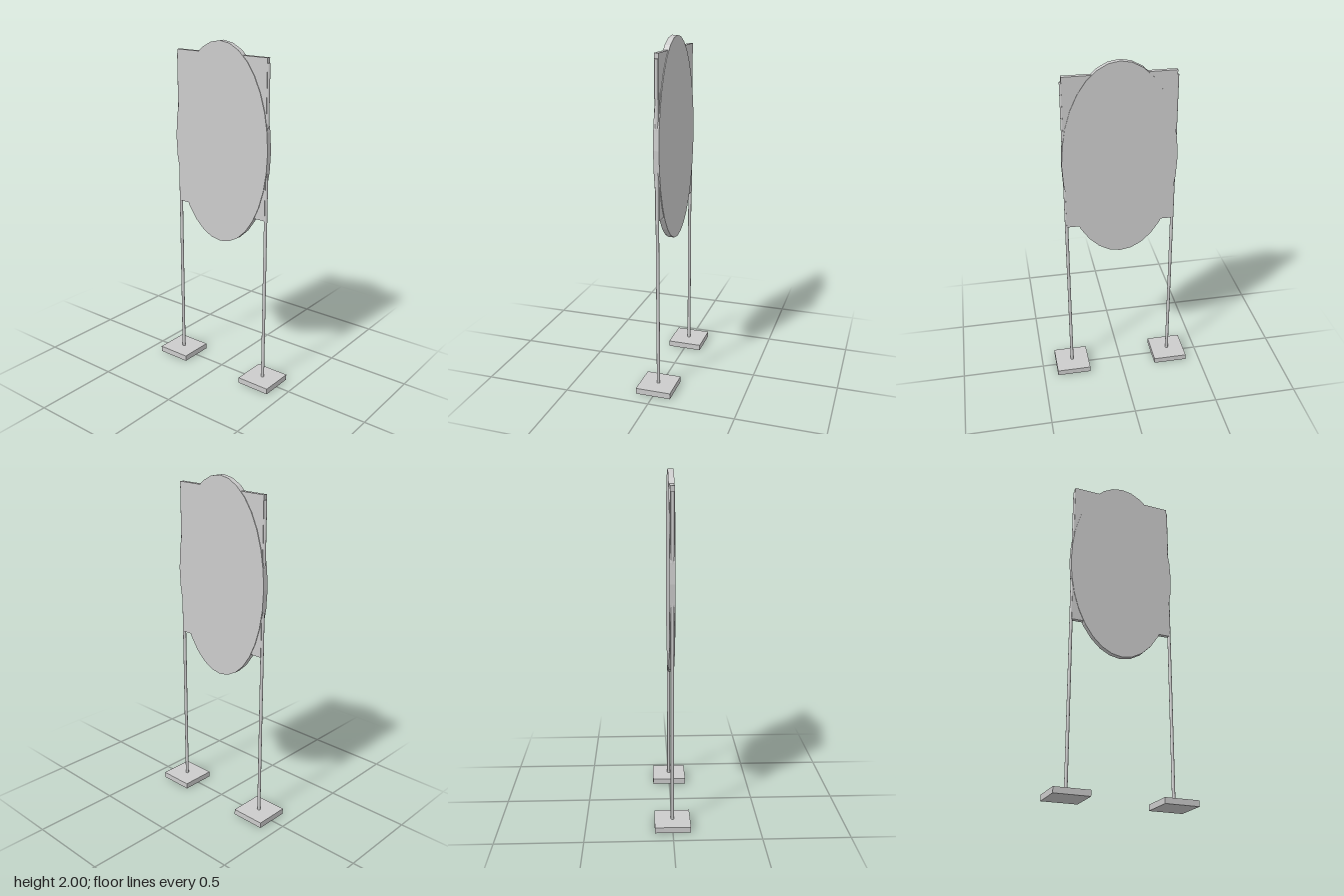
import * as THREE from 'three';

export function createModel() {
  const group = new THREE.Group();
  const smooth = new THREE.MeshStandardMaterial({ color: 0xcccccc });
  const flat = new THREE.MeshStandardMaterial({ color: 0xcccccc, flatShading: true });

  const add = (name, geometry, material, y, z = 0) => {
    const mesh = new THREE.Mesh(geometry, material);
    mesh.name = name;
    mesh.position.set(0, y, z);
    group.add(mesh);
  };

  // Oval sign face: a thin disc lying across x, stretched upright
  const oval = new THREE.CylinderGeometry(1, 1, 0.033, 32);
  oval.rotateZ(Math.PI / 2);
  oval.scale(1, 0.58, 0.327);
  add('ovalPanel', oval, flat, 1.42);

  // Rectangular backing board set inside the oval's thickness
  add('backingBoard', new THREE.BoxGeometry(0.025, 0.903, 0.624), flat, 1.4795);

  // Post and square foot at each end
  for (const [side, s] of [['front', 1], ['back', -1]]) {
    const z = s * 0.312;
    add(side + 'Post', new THREE.CylinderGeometry(0.0095, 0.0095, 1.87, 16), smooth, 0.967, z);
    add(side + 'Foot', new THREE.BoxGeometry(0.206, 0.034, 0.206), flat, 0.017, z);
  }
  return group;
}
